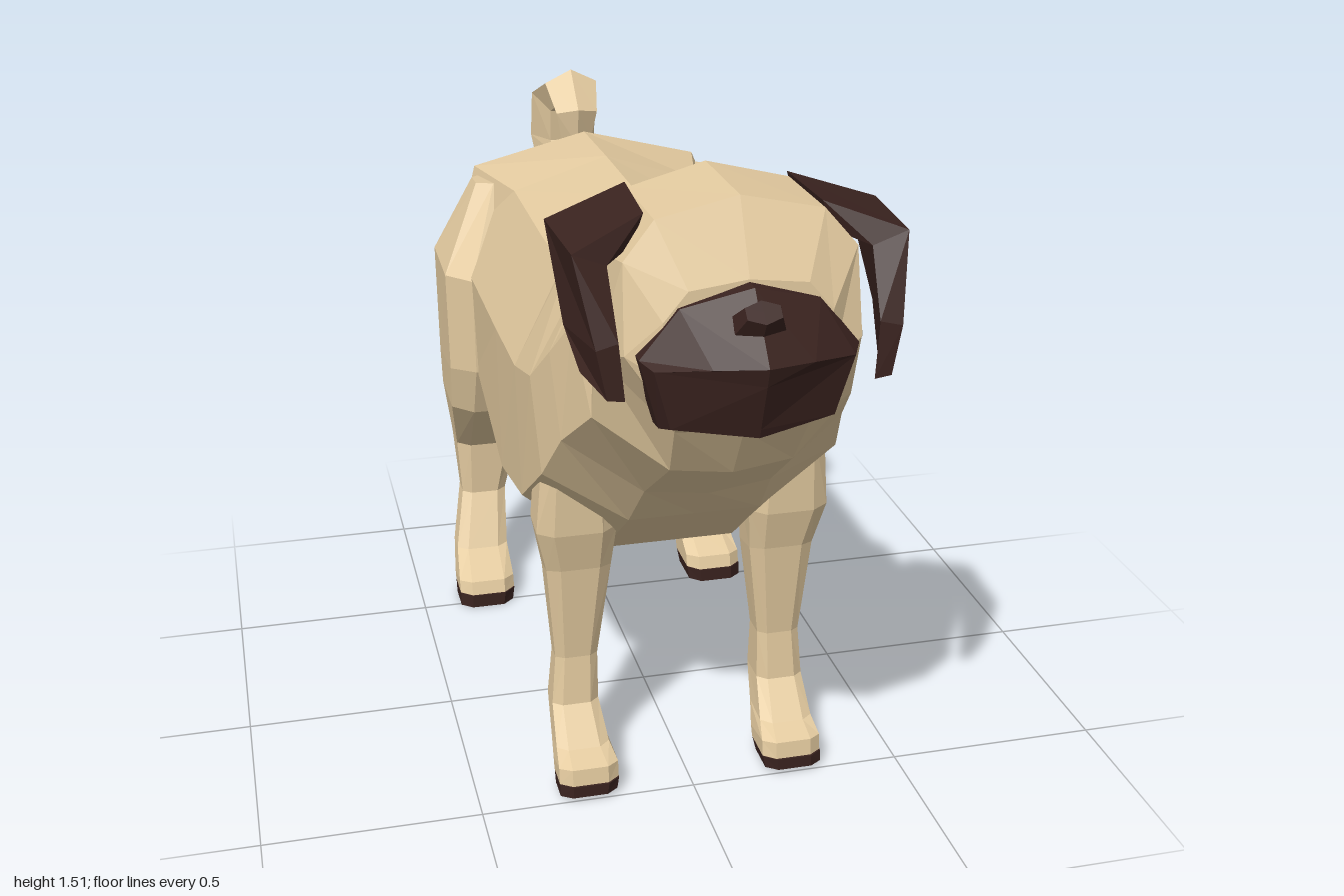
import * as THREE from 'three';

const tan = new THREE.MeshStandardMaterial({ color: 0xe4cba0, flatShading: true });
const dark = new THREE.MeshStandardMaterial({ color: 0x3a231f, flatShading: true });

// Skin a list of equal-length closed rings, cap both ends, and face everything outwards.
function loft(name, rings, material) {
  const tris = [];
  const n = rings[0].length;
  for (let r = 0; r < rings.length - 1; r++) {
    const a = rings[r], b = rings[r + 1];
    for (let i = 0; i < n; i++) {
      const j = (i + 1) % n;
      tris.push([a[i], a[j], b[j]], [a[i], b[j], b[i]]);
    }
  }
  const cap = (ring, flip) => {
    const c = [0, 1, 2].map(k => ring.reduce((s, p) => s + p[k], 0) / n);
    for (let i = 0; i < n; i++) {
      const p = ring[i], q = ring[(i + 1) % n];
      tris.push(flip ? [c, q, p] : [c, p, q]);
    }
  };
  cap(rings[0], true);
  cap(rings[rings.length - 1], false);
  const volume = tris.reduce((s, [a, b, c]) => s
    + a[0] * (b[1] * c[2] - b[2] * c[1])
    + a[1] * (b[2] * c[0] - b[0] * c[2])
    + a[2] * (b[0] * c[1] - b[1] * c[0]), 0);
  const pos = tris.flatMap(t => (volume < 0 ? [t[0], t[2], t[1]] : t).flat());
  const geo = new THREE.BufferGeometry();
  geo.setAttribute('position', new THREE.Float32BufferAttribute(pos, 3));
  geo.computeVertexNormals();
  const mesh = new THREE.Mesh(geo, material);
  mesh.name = name;
  return mesh;
}

// Complete a half ring that starts and ends on the centre line.
const mirrorRing = half => [...half, ...half.slice(1, -1).reverse().map(([x, y, z]) => [-x, y, z])];

// Slanted body section: top and bottom centre points, then [x, fraction down] for the side.
function bodyRing([zt, yt, zb, yb, ...side]) {
  const at = (x, t) => [x, yt + (yb - yt) * t, zt + (zb - zt) * t];
  return mirrorRing([at(0, 0), ...side.map(([x, t]) => at(x, t)), at(0, 1)]);
}

// Chamfered leg section: inner x, outer x, front z and y, back z and y.
function legRing([x0, x1, zf, yf, zb, yb], s) {
  const at = (u, t) => [s * (x0 + (x1 - x0) * u), yf + (yb - yf) * t, zf + (zb - zf) * t];
  return [at(0.2, 0), at(0.8, 0), at(1, 0.13), at(1, 0.58), at(0.67, 1), at(0.2, 1), at(0, 0.75), at(0, 0.15)];
}

export function createModel() {
  const dog = new THREE.Group();
  dog.name = 'dog';

  // Trunk, neck and head in one skin, from rump to face
  dog.add(loft('body', [
    [-0.865, 1.08, -0.88, 0.67, [0.24, 0.02], [0.29, 0.2], [0.27, 0.75], [0.13, 1]],
    [-0.67, 1.275, -0.68, 0.60, [0.295, 0.11], [0.35, 0.43], [0.33, 0.8], [0.14, 1]],
    [-0.40, 1.28, -0.46, 0.58, [0.235, 0.11], [0.35, 0.43], [0.34, 0.8], [0.15, 1]],
    [-0.04, 1.28, -0.04, 0.465, [0.235, 0.1], [0.35, 0.37], [0.345, 0.81], [0.155, 1]],
    [0.20, 1.28, 0.25, 0.52, [0.235, 0.1], [0.35, 0.39], [0.345, 0.8], [0.155, 1]],
    [0.29, 1.345, 0.48, 0.70, [0.23, 0.1], [0.345, 0.5], [0.335, 0.82], [0.15, 1]],
    [0.41, 1.34, 0.59, 0.80, [0.22, 0.1], [0.32, 0.42], [0.31, 0.75], [0.14, 0.97]],
    [0.45, 1.39, 0.77, 0.93, [0.19, 0.1], [0.29, 0.4], [0.275, 0.75], [0.13, 0.97]],
    [0.53, 1.515, 0.84, 1.05, [0.17, 0.08], [0.25, 0.3], [0.275, 0.68], [0.14, 0.98]],
    [0.78, 1.515, 0.86, 1.07, [0.17, 0.08], [0.235, 0.25], [0.24, 0.65], [0.14, 0.98]],
    [0.855, 1.37, 0.87, 1.08, [0.12, 0.05], [0.17, 0.25], [0.17, 0.65], [0.12, 0.98]],
  ].map(bodyRing), tan));

  // Blunt dark muzzle, closing on a vertical ridge at the front
  dog.add(loft('muzzle', [
    [[0, 1.365, 0.80], [0.15, 1.32, 0.80], [0.22, 1.23, 0.79], [0.18, 1.08, 0.82], [0, 1.06, 0.82]],
    [[0, 1.365, 0.89], [0.14, 1.325, 0.865], [0.22, 1.23, 0.87], [0.18, 1.085, 0.865], [0, 1.06, 0.875]],
    [[0, 1.24, 0.997], [0.10, 1.235, 0.965], [0.20, 1.22, 0.91], [0.165, 1.095, 0.90], [0, 1.08, 0.945]],
    [[0, 1.24, 0.997], [0, 1.24, 0.997], [0, 1.20, 0.985], [0, 1.10, 0.951], [0, 1.08, 0.945]],
  ].map(mirrorRing), dark));

  // Small button nose on the slope of the muzzle
  const nose = new THREE.Mesh(new THREE.CylinderGeometry(0.04, 0.058, 0.045, 6), dark);
  nose.name = 'nose';
  nose.scale.z = 0.65;
  nose.rotation.x = 0.75;
  nose.position.set(0, 1.32, 0.935);
  dog.add(nose);

  for (const s of [1, -1]) {
    const side = s > 0 ? 'left' : 'right';

    // Folded ear: out from the crown, then a thin flap hanging forward and down
    dog.add(loft(side + 'Ear', [
      [[0.17, 1.485, 0.54], [0.18, 1.48, 0.74], [0.20, 1.42, 0.74], [0.19, 1.41, 0.55]],
      [[0.345, 1.435, 0.59], [0.335, 1.43, 0.81], [0.265, 1.40, 0.80], [0.30, 1.385, 0.59]],
      [[0.335, 1.26, 0.72], [0.305, 1.26, 0.88], [0.26, 1.27, 0.875], [0.30, 1.26, 0.72]],
      [[0.32, 1.19, 0.80], [0.285, 1.16, 0.885], [0.25, 1.155, 0.885], [0.285, 1.16, 0.81]],
    ].map(ring => ring.map(([x, y, z]) => [s * x, y, z])), dark));

    // Legs and their dark soles
    const legs = {
      FrontLeg: [
        [0.17, 0.325, 0.42, 0.84, 0.24, 0.84],
        [0.155, 0.34, 0.41, 0.64, 0.25, 0.67],
        [0.165, 0.315, 0.385, 0.54, 0.25, 0.52],
        [0.195, 0.295, 0.36, 0.30, 0.26, 0.30],
        [0.195, 0.305, 0.37, 0.18, 0.24, 0.18],
        [0.185, 0.31, 0.44, 0.10, 0.30, 0.11],
        [0.175, 0.315, 0.495, 0.08, 0.34, 0.06],
        [0.175, 0.315, 0.50, 0.04, 0.355, 0.04],
      ],
      RearLeg: [
        [0.10, 0.31, -0.53, 1.19, -0.69, 1.18],
        [0.10, 0.41, -0.41, 0.97, -0.85, 1.00],
        [0.11, 0.405, -0.415, 0.72, -0.865, 0.68],
        [0.14, 0.40, -0.47, 0.585, -0.85, 0.60],
        [0.20, 0.37, -0.65, 0.41, -0.855, 0.42],
        [0.24, 0.36, -0.66, 0.26, -0.785, 0.27],
        [0.25, 0.39, -0.59, 0.12, -0.72, 0.13],
        [0.25, 0.40, -0.485, 0.07, -0.68, 0.05],
        [0.25, 0.40, -0.475, 0.035, -0.67, 0.035],
      ],
    };
    for (const [part, rows] of Object.entries(legs)) {
      dog.add(loft(side + part, rows.map(r => legRing(r, s)), tan));
      const [x0, x1, zf, y, zb] = rows[rows.length - 1];
      const floor = part === 'RearLeg' ? 0 : 0.012;
      dog.add(loft(side + part + 'Sole', [
        [x0, x1, zf + 0.005, y, zb, y],
        [x0 + 0.005, x1, zf + 0.005, floor, zb + 0.02, floor],
      ].map(r => legRing(r, s)), dark));
    }
  }

  // Curled tail: five-sided sections along a spiral of [z, y, depth, half width]
  const path = [
    [-0.81, 1.03, 0.07, 0.05], [-0.92, 1.12, 0.075, 0.075], [-0.945, 1.20, 0.06, 0.09],
    [-0.92, 1.315, 0.055, 0.09], [-0.84, 1.355, 0.05, 0.07], [-0.77, 1.30, 0.035, 0.055],
    [-0.78, 1.23, 0.03, 0.04], [-0.825, 1.205, 0.015, 0.025],
  ];
  dog.add(loft('tail', path.map(([z, y, d, w], i) => {
    const p = path[Math.max(i - 1, 0)], q = path[Math.min(i + 1, path.length - 1)];
    const len = Math.hypot(q[0] - p[0], q[1] - p[1]);
    const nz = -(q[1] - p[1]) / len, ny = (q[0] - p[0]) / len;
    return [[0, 1], [w, 0.3], [0.55 * w, -1], [-0.55 * w, -1], [-w, 0.3]]
      .map(([x, t]) => [x, y - ny * d * t * -1, z + nz * d * t]);
  }), tan));

  return dog;
}
